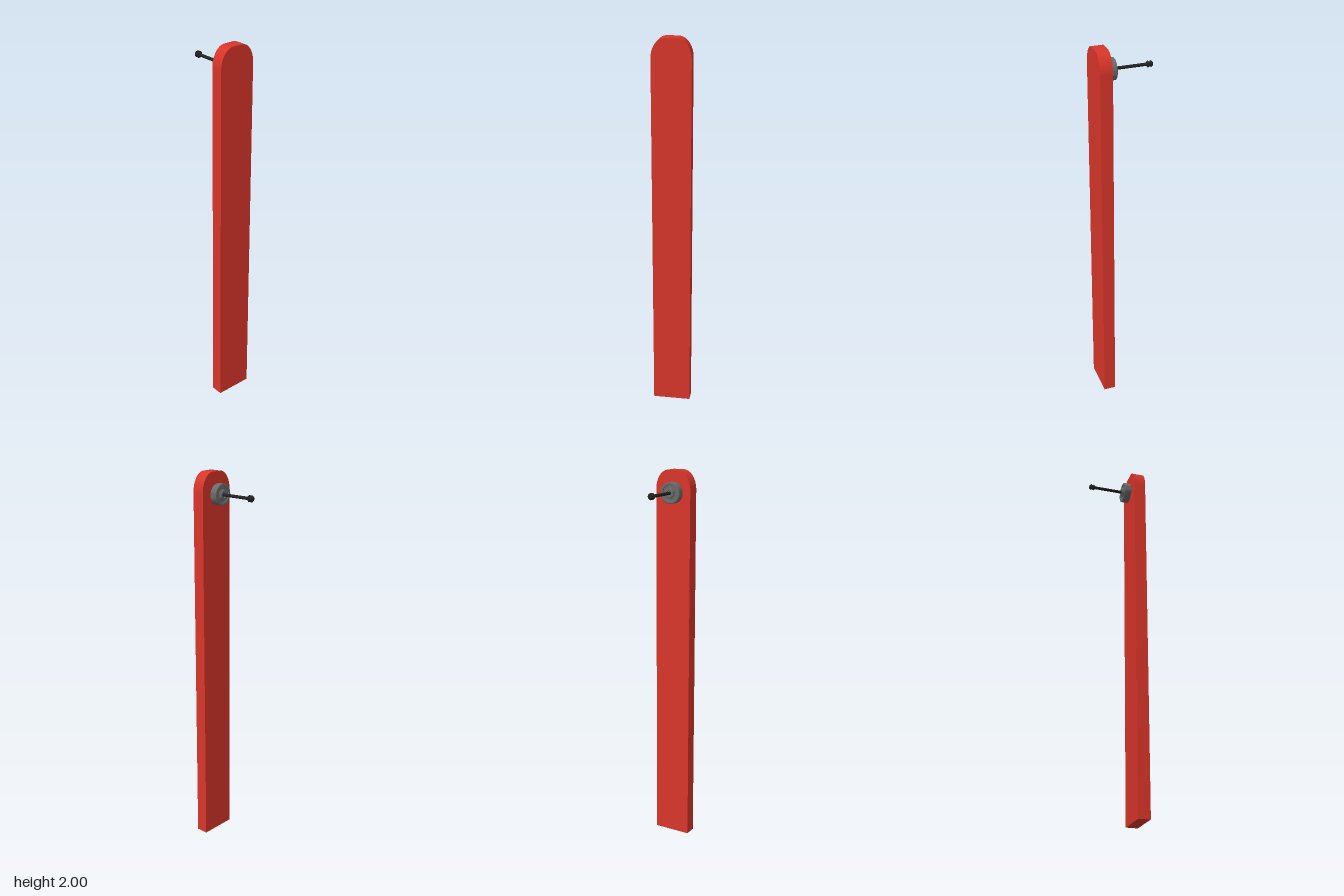
import * as THREE from 'three';
import { toCreasedNormals } from 'three/addons/utils/BufferGeometryUtils.js';

const AXIS_X = -0.0045, AXIS_Y = 1.888;

// Turned part on the pivot axis; profile points are [radius, z] running from front to back
function turned(name, profile, color, segments = 32) {
  const points = profile.map(([r, z]) => new THREE.Vector2(r, -z));
  const geometry = toCreasedNormals(new THREE.LatheGeometry(points, segments), 0.6);
  const mesh = new THREE.Mesh(geometry, new THREE.MeshStandardMaterial({ color }));
  mesh.name = name;
  mesh.rotation.x = -Math.PI / 2;
  mesh.position.set(AXIS_X, AXIS_Y, 0);
  return mesh;
}

export function createModel() {
  const model = new THREE.Group();
  model.name = 'pivotArm';

  // Long flat bar with a rounded upper end and a short flat at the tip
  const w = 0.099, flat = 0.027, shoulder = 1.9;
  const outline = new THREE.Shape();
  outline.moveTo(-w, 0);
  outline.lineTo(w, 0);
  outline.lineTo(w, shoulder);
  outline.absellipse(flat, shoulder, w - flat, 2 - shoulder, 0, Math.PI / 2, false);
  outline.lineTo(-flat, 2);
  outline.absellipse(-flat, shoulder, w - flat, 2 - shoulder, Math.PI / 2, Math.PI, false);
  const barGeometry = new THREE.ExtrudeGeometry(outline, { depth: 0.063, bevelEnabled: false, curveSegments: 12 });
  barGeometry.translate(0, 0, 0.085);
  const bar = new THREE.Mesh(toCreasedNormals(barGeometry, 0.6), new THREE.MeshStandardMaterial({ color: 0xd8352a }));
  bar.name = 'bar';
  model.add(bar);

  // Bearing: outer ring, recessed shield and raised inner collar
  model.add(turned('bearing', [
    [0, 0.081], [0.052, 0.081], [0.0545, 0.079], [0.0545, 0.045], [0.052, 0.043],
    [0.042, 0.043], [0.040, 0.047], [0.028, 0.047], [0.027, 0.043],
    [0.024, 0.043], [0.024, 0.037], [0.022, 0.035], [0.014, 0.035], [0.013, 0.041], [0, 0.041],
  ], 0x6a6a6a, 40));

  // Pin through the bearing, ending in a double-flared tip
  model.add(turned('pin', [
    [0.008, 0.06], [0.008, -0.118], [0.017, -0.128], [0.012, -0.128],
    [0.012, -0.142], [0.017, -0.142], [0.010, -0.151], [0, -0.151],
  ], 0x222222, 24));

  return model;
}
